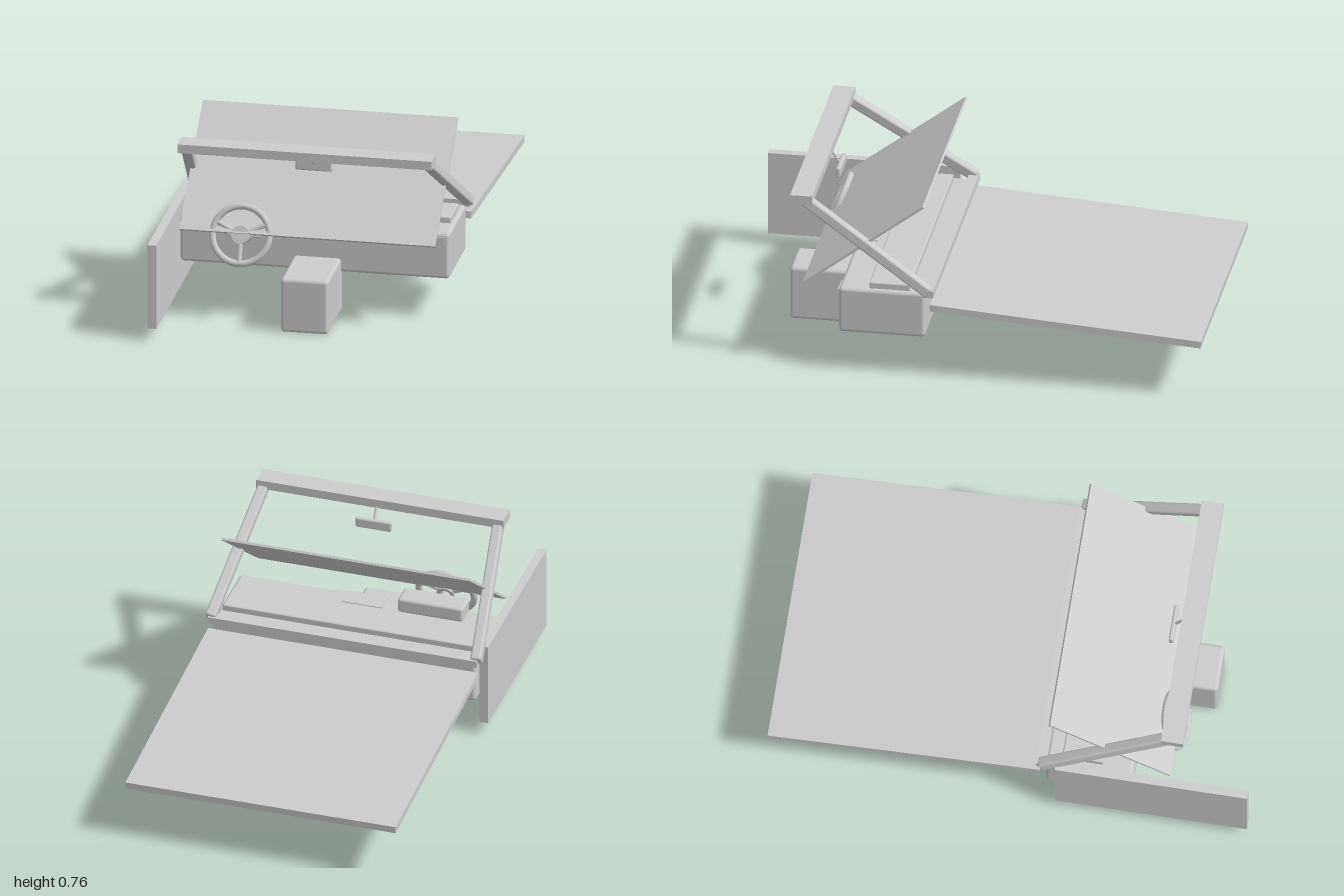
import * as THREE from 'three';
import { RoundedBoxGeometry } from 'three/addons/geometries/RoundedBoxGeometry.js';

export function createModel() {
  const root = new THREE.Group();
  root.name = 'carFrontInterior';
  const mat = new THREE.MeshStandardMaterial({ color: 0xcccccc });

  const add = (name, geo, parent = root) => {
    const m = new THREE.Mesh(geo, mat);
    m.name = name;
    parent.add(m);
    return m;
  };

  // Box given by its limits on each axis; r > 0 rounds the edges
  const box = (name, [x0, x1], [y0, y1], [z0, z1], r = 0) => {
    const s = [x1 - x0, y1 - y0, z1 - z0];
    const m = add(name, r ? new RoundedBoxGeometry(...s, 2, r) : new THREE.BoxGeometry(...s));
    m.position.set((x0 + x1) / 2, (y0 + y1) / 2, (z0 + z1) / 2);
    return m;
  };

  // Turn a mesh whose length runs along y so it spans a to b
  const span = (mesh, a, b) => {
    const dir = b.clone().sub(a).normalize();
    mesh.quaternion.setFromUnitVectors(new THREE.Vector3(0, 1, 0), dir);
    mesh.position.copy(a).add(b).multiplyScalar(0.5);
    return mesh;
  };
  const rod = (name, a, b, r, parent = root) => {
    const va = new THREE.Vector3(...a), vb = new THREE.Vector3(...b);
    return span(add(name, new THREE.CylinderGeometry(r, r, va.distanceTo(vb), 16), parent), va, vb);
  };

  // Dashboard, top pad, cowl and centre console
  box('dashboard', [-0.56, 0.568], [0.175, 0.375], [0.155, 0.515], 0.016);
  box('dashTopPad', [-0.53, 0.55], [0.37, 0.402], [0.22, 0.39], 0.006);
  box('cowl', [-0.575, 0.583], [0.365, 0.395], [0.118, 0.16]);
  box('centreConsole', [-0.085, 0.115], [0, 0.235], [0.475, 0.795], 0.016);
  box('centrePanel', [-0.07, 0.103], [0.275, 0.378], [0.43, 0.52]);

  // Instrument hood with two dials
  box('instrumentHood', [-0.42, -0.14], [0.375, 0.44], [0.42, 0.52], 0.012);
  for (const x of [-0.33, -0.225]) {
    const dial = add('dial', new THREE.CylinderGeometry(0.043, 0.043, 0.012, 24));
    dial.rotation.x = Math.PI / 2;
    dial.position.set(x, 0.363, 0.517);
  }

  // Air vents
  for (const [x, y] of [[-0.497, 0.342], [-0.077, 0.355], [0.11, 0.355], [0.503, 0.342]])
    box('airVent', [x - 0.047, x + 0.047], [y - 0.016, y + 0.016], [0.505, 0.521]);

  // Windscreen frame
  box('headerRail', [-0.53, 0.535], [0.727, 0.765], [0.63, 0.722]);
  for (const s of [-1, 1]) {
    const a = new THREE.Vector3(0.003 + s * 0.573, 0.385, 0.135);
    const b = new THREE.Vector3(0.003 + s * 0.503, 0.74, 0.67);
    const geo = new RoundedBoxGeometry(0.046, a.distanceTo(b), 0.046, 2, 0.01);
    span(add(s < 0 ? 'rightPillar' : 'leftPillar', geo), a, b);
  }

  // Glass, leaning across the frame
  span(add('windscreenGlass', new THREE.BoxGeometry(1.07, 0.63, 0.01)),
    new THREE.Vector3(0.003, 0.37, 0.668), new THREE.Vector3(0.003, 0.755, 0.165));

  // Rear-view mirror
  box('mirror', [-0.06, 0.095], [0.645, 0.69], [0.587, 0.607], 0.008);
  rod('mirrorStem', [0.017, 0.675, 0.6], [0.017, 0.74, 0.64], 0.006);

  // Steering wheel: built flat facing +z, then tilted
  const wheel = new THREE.Group();
  wheel.name = 'steeringWheel';
  wheel.position.set(-0.277, 0.362, 0.655);
  wheel.rotation.x = -0.38;
  root.add(wheel);
  add('rim', new THREE.TorusGeometry(0.119, 0.014, 12, 48), wheel);
  const hub = add('hub', new THREE.CylinderGeometry(0.038, 0.038, 0.03, 24), wheel);
  hub.rotation.x = Math.PI / 2;
  for (const deg of [25, 155, 270]) {
    const t = THREE.MathUtils.degToRad(deg), c = Math.cos(t), s = Math.sin(t);
    rod('spoke', [0.02 * c, 0.02 * s, 0], [0.118 * c, 0.118 * s, 0], 0.011, wheel);
  }
  rod('steeringColumn', [0, 0, 0], [0, 0, -0.17], 0.022, wheel);
  rod('stalk', [-0.07, 0, -0.09], [0.07, 0, -0.09], 0.006, wheel);

  // Bonnet, sloping down away from the cabin, and one door panel
  span(add('bonnet', new THREE.BoxGeometry(1.164, 1.133, 0.03)),
    new THREE.Vector3(0.003, 0.32, 0.133), new THREE.Vector3(0.003, 0.241, -0.998));
  box('doorPanel', [-0.6, -0.563], [0.055, 0.42], [0.2, 1]);

  return root;
}
